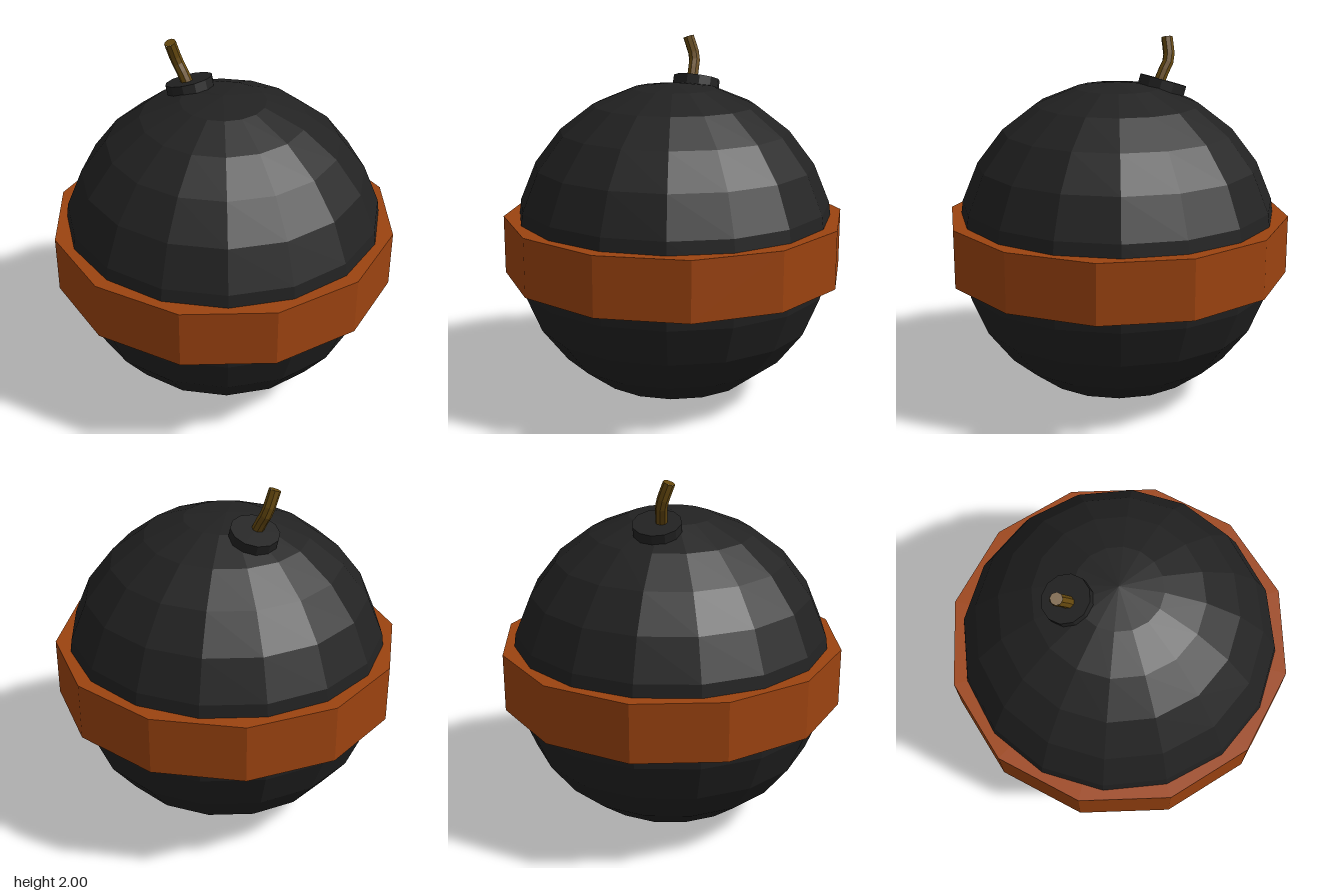
import * as THREE from 'three';

function part(name, geometry, color) {
  const material = new THREE.MeshStandardMaterial({ color, flatShading: true });
  const mesh = new THREE.Mesh(geometry, material);
  mesh.name = name;
  return mesh;
}

export function createModel() {
  const model = new THREE.Group();
  model.name = 'bomb';

  // Faceted round body
  const body = part('body', new THREE.SphereGeometry(0.885, 16, 12), 0x222222);
  body.position.y = 0.89;

  // Twelve-sided band around the middle
  const band = part('band', new THREE.CylinderGeometry(0.94, 0.94, 0.32, 12), 0x9c4310);
  band.position.y = 0.89;

  // Fuse cap, tilted back to sit on the body
  const cap = part('fuseCap', new THREE.CylinderGeometry(0.13, 0.13, 0.06, 12), 0x222222);
  cap.position.set(0.015, 1.742, -0.26);
  cap.rotation.x = -0.3;

  // Bent fuse with a closed tip
  const path = new THREE.CatmullRomCurve3([
    new THREE.Vector3(-0.005, 1.74, -0.245),
    new THREE.Vector3(-0.012, 1.81, -0.28),
    new THREE.Vector3(-0.022, 1.88, -0.318),
    new THREE.Vector3(-0.062, 1.992, -0.325),
  ]);
  const fuse = part('fuse', new THREE.TubeGeometry(path, 6, 0.032, 8), 0x66490f);
  const tip = part('fuseTip', new THREE.CircleGeometry(0.032, 8), 0x66490f);
  tip.position.copy(path.getPoint(1));
  tip.quaternion.setFromUnitVectors(new THREE.Vector3(0, 0, 1), path.getTangent(1));

  model.add(body, band, cap, fuse, tip);
  return model;
}
